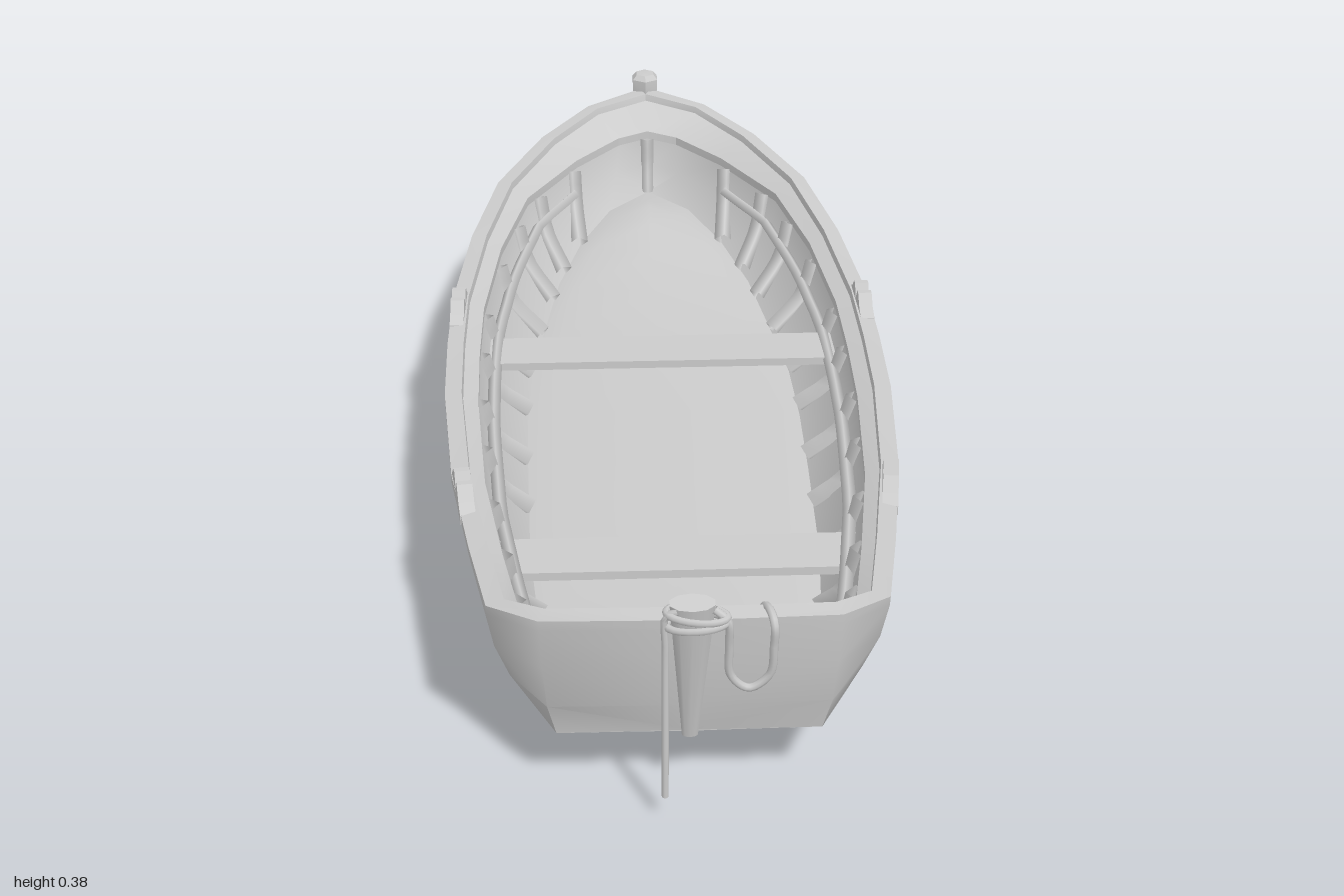
import * as THREE from 'three';
import { toCreasedNormals } from 'three/addons/utils/BufferGeometryUtils.js';

// Stations from bow to stern, left half only
const SHEER = [[.012, .345, -.965], [.12, .335, -.9], [.215, .318, -.78], [.3, .305, -.59], [.345, .29, -.38], [.372, .278, -.15],
  [.375, .275, .02], [.372, .276, .2], [.35, .285, .47], [.315, .3, .7], [.285, .313, .87], [.21, .333, .94], [0, .34, .955]];
const KEEL = [[.19, -.93], [.115, -.835], [.048, -.7], [.025, -.52], [.012, -.36], [.005, -.15], [0, .02], [.004, .2],
  [.015, .45], [.03, .63], [.06, .78], [.12, .915], [.12, .915]]; // y, z
const CHINE = [[.012, .2], [.035, .14], [.115, .118], [.19, .1], [.23, .09], [.25, .085], [.252, .085], [.25, .085],
  [.245, .085], [.23, .087], [.215, .1], [.19, .122], [0, .122]]; // x, y
const FLOOR = [[0, .175, -.82], [.08, .168, -.745], [.14, .15, -.63], [.185, .134, -.48], [.212, .124, -.31], [.235, .12, -.14],
  [.24, .12, .02], [.238, .12, .2], [.232, .12, .45], [.217, .12, .64], [.19, .125, .8], [.12, .137, .862], [0, .137, .88]];
const SHELF = [[.12, .045], [.09, .045], [.08, .035], [.06, .026], [.055, .022], [.055, .02], [.055, .02], [.055, .02],
  [.052, .02], [.05, .02], [.05, .02], [.05, .02], [.05, .02]]; // width, drop
const LAST = SHEER.length - 1;
const V = (x, y, z) => new THREE.Vector3(x, y, z);

// Point on the sheer moved inboard by d
function inset(i, d, drop) {
  const p = V(...SHEER[i]);
  if (i === 0) return V(0, p.y - drop, p.z + d);
  if (i === LAST) return V(0, p.y - drop, p.z - d);
  const a = SHEER[i - 1], b = SHEER[i + 1];
  const n = V(-(b[2] - a[2]), 0, b[0] - a[0]).normalize();
  p.addScaledVector(n, d);
  p.y -= drop;
  return p;
}

// One full section: keel, bottom, chine, side, gunwale, shelf, inner wall, crowned floor
function section(i) {
  const [ky, kz] = KEEL[i], [cx, cy] = CHINE[i], s = SHEER[i];
  const rows = [V(0, ky, kz)];
  for (const [u, v] of [[.14, .33], [.48, .7], [1, 1]]) rows.push(V(cx * u, ky + (cy - ky) * v, kz));
  for (const [u, v] of [[.6, .26], [.88, .6], [1, .92], [1, 1]])
    rows.push(V(cx + (s[0] - cx) * u, cy + (s[1] - cy) * v, kz + (s[2] - kz) * (u + v) / 2));
  rows.push(inset(i, i ? .028 : .036, -.003), inset(i, i ? .03 : .04, .01));
  const [width, drop] = SHELF[i];
  const edge = inset(i, width, drop), under = inset(i, width, drop + .016);
  const foot = V(...FLOOR[i]);
  const mid = under.clone().lerp(foot, .5);
  mid.lerp(V(under.x, mid.y, under.z), .5);
  rows.push(edge, under, mid, foot);
  rows.push(V(foot.x * .82, foot.y + .008, foot.z * .93), V(0, foot.y + .012, foot.z * .88));
  return rows;
}
const ROWS = SHEER.map((_, i) => section(i));

// Interpolated point at station t on a row
function at(t, row) {
  const i = Math.min(Math.floor(t), LAST - 1);
  return ROWS[i][row].clone().lerp(ROWS[i + 1][row], t - i);
}

// Mirrored surface over a range of rows
function skin(from, to, crease = 1) {
  const out = [];
  const tri = (a, b, c) => {
    const area = b.clone().sub(a).cross(c.clone().sub(a)).length();
    if (area < 1e-8) return;
    for (const p of [a, b, c]) out.push(p.x, p.y, p.z);
    for (const p of [a, c, b]) out.push(-p.x, p.y, p.z);
  };
  for (let i = 0; i < LAST; i++) for (let j = from; j < to; j++) {
    const a = ROWS[i][j], b = ROWS[i][j + 1], c = ROWS[i + 1][j], d = ROWS[i + 1][j + 1];
    tri(a, b, c);
    tri(b, d, c);
  }
  const g = new THREE.BufferGeometry();
  g.setAttribute('position', new THREE.Float32BufferAttribute(out, 3));
  return toCreasedNormals(g, crease);
}

// Extrude a side profile (z, y) across x
function sideExtrude(points, width) {
  const shape = new THREE.Shape(points.map(p => new THREE.Vector2(...p)));
  const g = new THREE.ExtrudeGeometry(shape, { depth: width, bevelEnabled: false });
  return g.translate(0, 0, -width / 2).rotateY(-Math.PI / 2);
}

export function createModel() {
  const model = new THREE.Group();
  model.name = 'rowingBoat';
  const mat = new THREE.MeshStandardMaterial({ color: 0xcccccc, side: THREE.DoubleSide });
  const add = (name, geo, x = 0, y = 0, z = 0, parent = model) => {
    const m = new THREE.Mesh(geo, mat);
    m.name = name;
    m.position.set(x, y, z);
    parent.add(m);
    return m;
  };
  const tube = (pts, r, sides, seg) => new THREE.TubeGeometry(new THREE.CatmullRomCurve3(pts), seg, r, sides);

  // Shell
  add('hullBottom', skin(0, 3));
  add('hullSides', skin(3, 7));
  add('gunwale', skin(7, 9, .6));
  add('innerShelf', skin(9, 11, .6));
  add('innerWall', skin(11, 13));
  add('floor', skin(13, 15));

  // Ribs and seat rails on both sides
  const ribs = new THREE.Group();
  ribs.name = 'ribs';
  model.add(ribs);
  for (const side of [1, -1]) {
    const flip = p => (p.x *= side, p);
    for (const t of [2.1, 2.8, 3.45, 4.2, 5.05, 5.9, 6.85, 7.5, 8.2, 8.9, 9.7, 10.5]) {
      const pts = [11, 12, 13].map(r => flip(at(t, r)));
      pts[2].y += .012;
      add('rib', tube(pts, .018, 4, 6), 0, 0, 0, ribs);
    }
    const rail = [];
    for (let t = 2.2; t <= 10; t += .39) {
      const p = at(t, 11).lerp(at(t, 12), .6);
      p.x -= .012;
      rail.push(flip(p));
    }
    add('seatRail', tube(rail, .011, 4, 30));
  }
  // Frames at both ends
  for (const t of [0, LAST]) add('endRib', tube([11, 12, 13].map(r => at(t, r)), .016, 4, 6), 0, 0, 0, ribs);

  // Thwarts
  add('thwart', new THREE.BoxGeometry(.635, .014, .095), 0, .2, -.077);
  add('thwart', new THREE.BoxGeometry(.55, .014, .095), 0, .208, .598);

  // Notched oar rests
  const rest = [[-.068, -.012], [.068, -.012], [.068, .004], [.045, .012], [.025, .032], [.014, .032], [0, .01],
    [-.014, .032], [-.025, .032], [-.045, .012], [-.068, .004]];
  for (const side of [1, -1]) for (const [x, y, z, turn] of [[.36, .274, -.11, .03], [.328, .29, .535, -.13]])
    add('oarRest', sideExtrude(rest, .024), side * x, y, z).rotation.y = side * turn;

  // Rounded stem post with a faceted, chamfered head
  add('stemPost', tube([V(0, .125, -.82), V(0, .148, -.875), V(0, .195, -.928), V(0, .26, -.956), V(0, .345, -.97)], .024, 8, 16));
  const head = [[0, .322], [.025, .326], [.029, .34], [.029, .368], [.02, .378], [0, .38]].map(p => new THREE.Vector2(...p));
  add('stemHead', toCreasedNormals(new THREE.LatheGeometry(head, 6), .3), 0, 0, -.972);

  // Tapered post on the transom
  const post = add('sternPost', new THREE.CylinderGeometry(.033, .012, .26, 10), 0, .247, .942);
  post.scale.z = .55;
  post.rotation.x = .17;

  // Rope: turns round the post, a hanging end and a slack loop
  const rope = new THREE.Group();
  rope.name = 'rope';
  model.add(rope);
  for (const [y, tilt] of [[.343, .06], [.357, -.12]]) {
    const turn = add('ropeTurn', new THREE.TorusGeometry(.042, .006, 8, 24).rotateX(Math.PI / 2), .006, y, .966, rope);
    turn.scale.z = .52;
    turn.rotation.z = tilt;
  }
  add('ropeEnd', tube([V(-.02, .368, .975), V(-.036, .36, .972), V(-.037, .3, .968), V(-.037, .15, .967), V(-.037, .045, .967)], .005, 8, 24), 0, 0, 0, rope);
  add('ropeLoop', tube([V(.03, .364, .965), V(.048, .348, .97), V(.051, .3, .962), V(.055, .245, .955), V(.08, .222, .952),
    V(.108, .245, .955), V(.113, .3, .962), V(.113, .336, .963), V(.108, .342, .935), V(.102, .325, .905), V(.1, .27, .89)], .006, 8, 60), 0, 0, 0, rope);
  return model;
}
